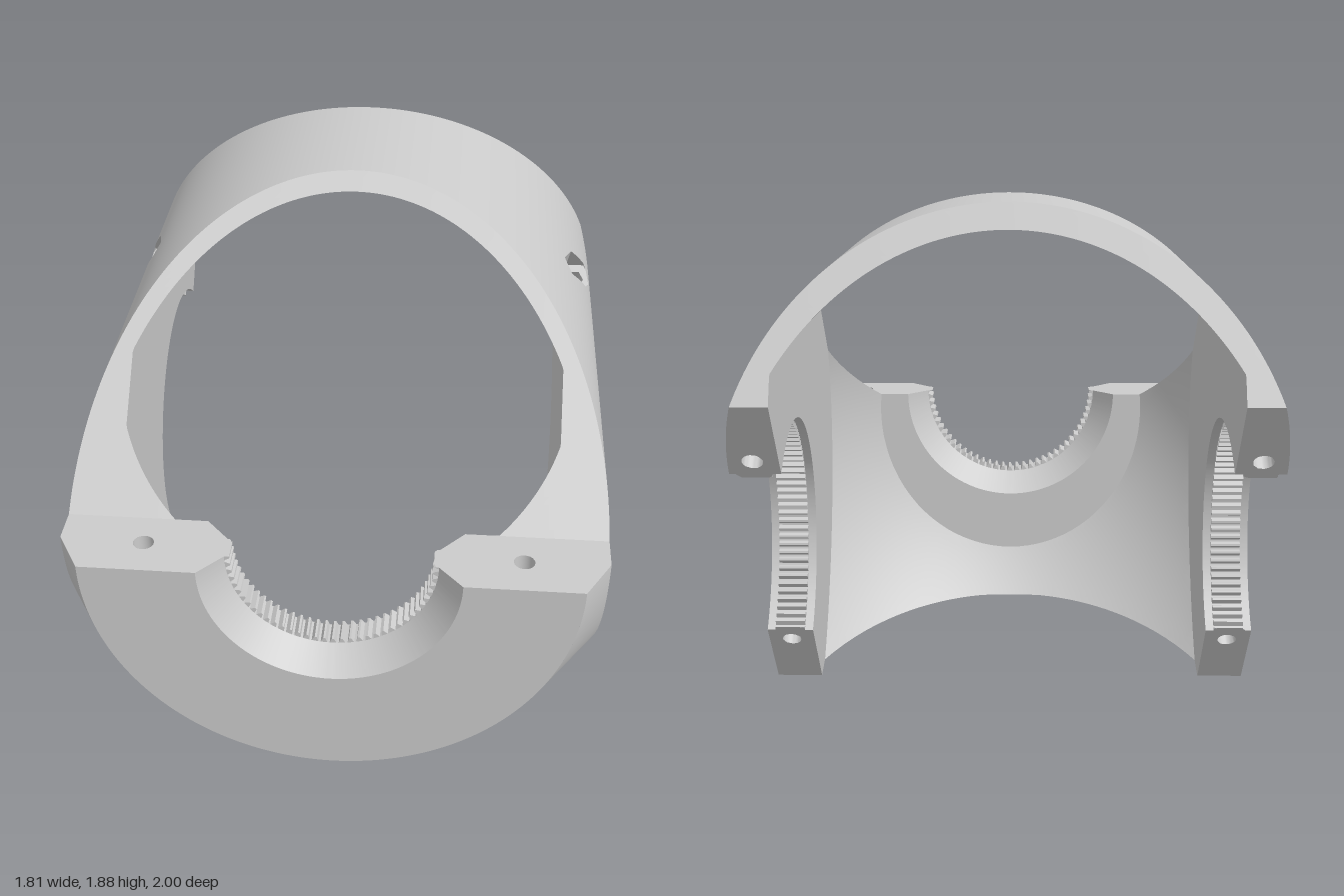
import * as THREE from 'three';
import { toCreasedNormals } from 'three/addons/utils/BufferGeometryUtils.js';

const { hypot, abs, max, min, PI, sin, cos } = Math;

// Tilted frame of the side bores: a runs along the housing axis, t along the split plane
const CY = 0.64, CZ = -0.467, CA = cos(PI * 2 / 9), SA = sin(PI * 2 / 9);
const A = p => CA * (p.z - CZ) + SA * (p.y - CY);
const T = p => CA * (p.y - CY) - SA * (p.z - CZ);
const frame = new THREE.Matrix4().makeBasis(
  new THREE.Vector3(0, CA, -SA), new THREE.Vector3(0, SA, CA), new THREE.Vector3(1, 0, 0)).setPosition(0, CY, CZ);
const tilted = (geo, t, a, x) => geo.translate(t, a, x).applyMatrix4(frame);

// Dimensions
const SIDE = 0.905, CHEEK = 0.735, AXIS = 0.98, ROOF = 0.85, BACK = 0.73, FLOOR = 0.155;
const BOLT_X = 0.82, BOLT_T = 0.555, SCREW_X = 0.625, SCREW_Z = 0.86, SCREW_Y = 0.5;
const coneR = z => 0.82 + 0.57 * (1 - z);
const wedge = a => 0.832 + 0.455 * a;
const noseR = z => z > 0.82 && z < 0.91 ? 0.333 : 0.35 + 0.08 * min(1, max(0, z > 0.9 ? (z - 0.91) / 0.09 : (0.82 - z) / 0.09));

// Limits of the hollow, positive inside it
const hollow = {
  ellipsoid: p => 1 - (A(p) / 1.495) ** 2 - (p.x * p.x + T(p) ** 2) / 1.145 ** 2,
  cheek: p => CHEEK - abs(p.x),
  roof: p => ROOF - hypot(p.x, max(p.y - AXIS, 0)),
  wall: p => BACK - p.z,
};
const hollowBut = key => Object.keys(hollow).filter(k => k !== key).map(k => hollow[k]);

// Limits of the solid, positive inside the material
const solid = {
  body: p => SIDE - hypot(p.x, max(p.y - AXIS, 0)),
  cone: p => coneR(p.z) - hypot(p.x, p.y - 1),
  nose: p => 1 - p.z,
  step: p => max(1 - p.y, 1.73 - p.y - p.z),
  split: p => A(p),
  rear: p => wedge(A(p)) - T(p),
  under: p => max(wedge(A(p)) + T(p), p.y - FLOOR),
  hollow: p => -min(...Object.values(hollow).map(f => f(p))),
  bore: p => hypot(p.z - CZ, p.y - CY) - (abs(abs(p.x) - 0.82) < 0.055 ? 0.47 : 0.49),
  noseBore: p => hypot(p.x, p.y - 1) - noseR(p.z),
  screw: p => hypot(abs(p.x) - SCREW_X, p.z - SCREW_Z) - (p.y < SCREW_Y ? 0.07 : 0.035),
  bolt: p => max(hypot(abs(p.x) - BOLT_X, abs(T(p)) - BOLT_T) - 0.035, A(p) - 0.25),
  channel: p => {
    const u = abs(abs(p.x) - BOLT_X), v = abs(T(p) - BOLT_T);
    return max(v - 0.058, u * 0.866 + v * 0.5 - 0.058, 0.24 - A(p));
  },
  pocket: p => max(abs(A(p) - 0.215) - 0.035, abs(T(p) + BOLT_T) - 0.058, 0.76 - abs(p.x)),
};

// Surface patch from a rule (u, v) -> [x, y, z]
function grid(nu, nv, rule) {
  const pos = [], index = [];
  for (let j = 0; j <= nv; j++) for (let i = 0; i <= nu; i++) pos.push(...rule(i / nu, j / nv, i, j));
  for (let j = 0; j < nv; j++) for (let i = 0; i < nu; i++) {
    const k = j * (nu + 1) + i, m = k + nu + 1;
    index.push(k, k + 1, m + 1, k, m + 1, m);
  }
  const geo = new THREE.BufferGeometry();
  geo.setAttribute('position', new THREE.Float32BufferAttribute(pos, 3));
  geo.setIndex(index);
  return geo;
}

// Cut a polygon where f becomes negative
const EPS = -1e-5;
function clip(poly, f) {
  const vals = poly.map(f);
  if (vals.every(v => v >= EPS)) return poly;
  const out = [];
  poly.forEach((p, i) => {
    const j = (i + 1) % poly.length, q = poly[j], inP = vals[i] >= EPS;
    if (inP) out.push(p);
    if (inP !== (vals[j] >= EPS)) {
      let keep = (inP ? p : q).clone(), drop = (inP ? q : p).clone();
      for (let k = 0; k < 16; k++) {
        const mid = keep.clone().lerp(drop, 0.5);
        if (f(mid) >= EPS) keep = mid; else drop = mid;
      }
      out.push(keep);
    }
  });
  return out;
}

const material = new THREE.MeshStandardMaterial({ color: 0xcccccc });

// Trim a patch to the solid and turn its faces away from the material
function patch(name, geo, own, extra = []) {
  const limits = [...extra, ...Object.keys(solid).filter(k => k !== own).map(k => solid[k])];
  const inside = p => min(...Object.values(solid).map(f => f(p)));
  const src = geo.index ? geo.toNonIndexed() : geo, at = src.attributes.position;
  const tris = [], n = new THREE.Vector3(), tri = new THREE.Triangle();
  let vote = 0;
  for (let i = 0; i < at.count; i += 3) {
    let poly = [0, 1, 2].map(k => new THREE.Vector3().fromBufferAttribute(at, i + k));
    for (const f of limits) if (poly.length > 2) poly = clip(poly, f);
    for (let k = 1; k + 1 < poly.length; k++) {
      tri.set(poly[0], poly[k], poly[k + 1]);
      if (tri.getArea() < 1e-9) continue;
      tri.getNormal(n).multiplyScalar(0.004);
      const mid = tri.getMidpoint(new THREE.Vector3());
      vote += Math.sign(inside(mid.clone().sub(n)) - inside(mid.clone().add(n)));
      tris.push([poly[0], poly[k], poly[k + 1]]);
    }
  }
  const pos = tris.flatMap(([a, b, c]) => (vote < 0 ? [a, c, b] : [a, b, c]).flatMap(p => [p.x, p.y, p.z]));
  const out = new THREE.BufferGeometry();
  out.setAttribute('position', new THREE.Float32BufferAttribute(pos, 3));
  const mesh = new THREE.Mesh(toCreasedNormals(out, 0.5), material);
  mesh.name = name;
  return mesh;
}

export function createModel() {
  const group = new THREE.Group();
  group.name = 'bearingHousing';
  const add = (...args) => group.add(patch(...args));
  const span = (lo, hi, u) => lo + (hi - lo) * u;
  const SX = u => span(-SIDE, SIDE, u);

  // Outer shell: flat sides joined by a half-round roof
  const arc = SIDE * PI / 2, half = arc + AXIS;
  add('outerShell', grid(200, 84, (u, v) => {
    const s = span(-half, half, u), g = min(abs(s), arc) / SIDE, z = span(-1.02, 0.95, v);
    return [Math.sign(s) * SIDE * sin(g), AXIS + SIDE * cos(g) - max(0, abs(s) - arc), z];
  }), 'body');
  add('frontCone', grid(130, 50, (u, v) => {
    const z = span(0, 1, v), r = coneR(z), g = PI * (1 + u);
    return [r * cos(g), 1 + r * sin(g), z];
  }), 'cone');
  add('frontFace', grid(120, 6, (u, v) => {
    const r = span(0.43, 0.82, v), g = PI * (1 + u);
    return [r * cos(g), 1 + r * sin(g), 1];
  }), 'nose');

  // Ledge, sloping rim, split plane, rear and lower faces
  add('frontLedge', grid(90, 15, (u, v) => [SX(u), 1, span(BACK, 1, v)]), 'step');
  add('slopingRim', grid(90, 45, (u, v) => [SX(u), 1 + 0.885 * v, BACK - 0.885 * v]), 'step');
  const plane = (lo, hi, n, rule) => grid(90, n, (u, v) => {
    const [a, t] = rule(span(lo, hi, v));
    return [SX(u), CY + SA * a + CA * t, CZ + CA * a - SA * t];
  });
  add('splitFace', plane(-0.832, 0.832, 80, t => [0, t]), 'split');
  add('rearEdge', plane(0, 0.7, 36, a => [a, wedge(a)]), 'rear');
  add('lowerEdge', plane(0, 0.7, 36, a => [a, -wedge(a)]), 'under', [p => FLOOR - p.y]);
  add('noseUnderside', grid(60, 20, (u, v) => [span(-0.6, 0.6, u), FLOOR, span(0.6, 1, v)]), 'under',
    [p => -wedge(A(p)) - T(p)]);

  // Hollow: bowl, thin roof and the back of the front wall
  add('innerBowl', tilted(grid(160, 50, (u, v) => {
    const g = 2 * PI * u, h = v * PI / 2;
    return [1.145 * cos(h) * cos(g), 1.495 * sin(h), 1.145 * cos(h) * sin(g)];
  }), 0, 0, 0), 'hollow', hollowBut('ellipsoid'));
  add('innerRoof', grid(90, 60, (u, v) =>
    [ROOF * cos(PI * u), AXIS + ROOF * sin(PI * u), span(-1, 0.4, v)]), 'hollow', hollowBut('roof'));
  add('frontWallBack', grid(60, 40, (u, v) =>
    [span(-CHEEK, CHEEK, u), span(0.1, 1, v), BACK]), 'hollow', hollowBut('wall'));

  // Front half bore, chamfered both ways, with a toothed band
  const tooth = (i, lo, hi) => (i % 4 < 2 ? lo : hi);
  const nose = [[0.43, BACK], [0.35, 0.82], [0, 0.82], [0, 0.91], [0.35, 0.91], [0.43, 1]];
  add('frontBore', grid(144, 5, (u, v, i, j) => {
    const r = nose[j][0] || tooth(i, 0.333, 0.35), g = PI * (1 + u);
    return [r * cos(g), 1 + r * sin(g), nose[j][1]];
  }), 'noseBore');

  const ribs = [[0.49, CHEEK], [0.49, 0.765], [0, 0.765], [0, 0.875], [0.49, 0.875], [0.49, SIDE]];
  for (const s of [-1, 1]) {
    // Cheek walls and toothed side bores
    add('innerCheek', grid(75, 75, (u, v) =>
      [s * CHEEK, span(0, 1.45, u), span(-1.02, BACK, v)]), 'hollow', hollowBut('cheek'));
    add('sideBore', grid(400, 5, (u, v, i, j) => {
      const r = ribs[j][0] || tooth(i, 0.47, 0.488), g = 2 * PI * u;
      return [s * ribs[j][1], CY + r * sin(g), CZ + r * cos(g)];
    }), 'bore');

    // Ledge screw hole with a wide counterbore below
    const upright = (geo, y) => geo.translate(s * SCREW_X, y, SCREW_Z);
    add('screwHole', upright(new THREE.CylinderGeometry(0.035, 0.035, 0.5, 28, 4, true), 0.75), 'screw');
    add('counterbore', upright(new THREE.CylinderGeometry(0.07, 0.07, 0.4, 32, 16, true), 0.3), 'screw');
    add('counterboreSeat', upright(new THREE.RingGeometry(0.035, 0.07, 32).rotateX(PI / 2), SCREW_Y), 'screw');

    // Split-plane bolt holes, hexagonal channel above and nut pocket below
    for (const t of [-BOLT_T, BOLT_T])
      add('boltHole', tilted(new THREE.CylinderGeometry(0.035, 0.035, 0.24, 28, 8, true), t, 0.12, s * BOLT_X), 'bolt');
    add('hexChannel', tilted(new THREE.CylinderGeometry(0.067, 0.067, 0.8, 6, 40), BOLT_T, 0.64, s * BOLT_X), 'channel');
    add('nutPocket', tilted(new THREE.BoxGeometry(0.116, 0.07, 0.19, 8, 6, 8), -BOLT_T, 0.215, s * 0.855), 'pocket');
  }
  return group;
}
